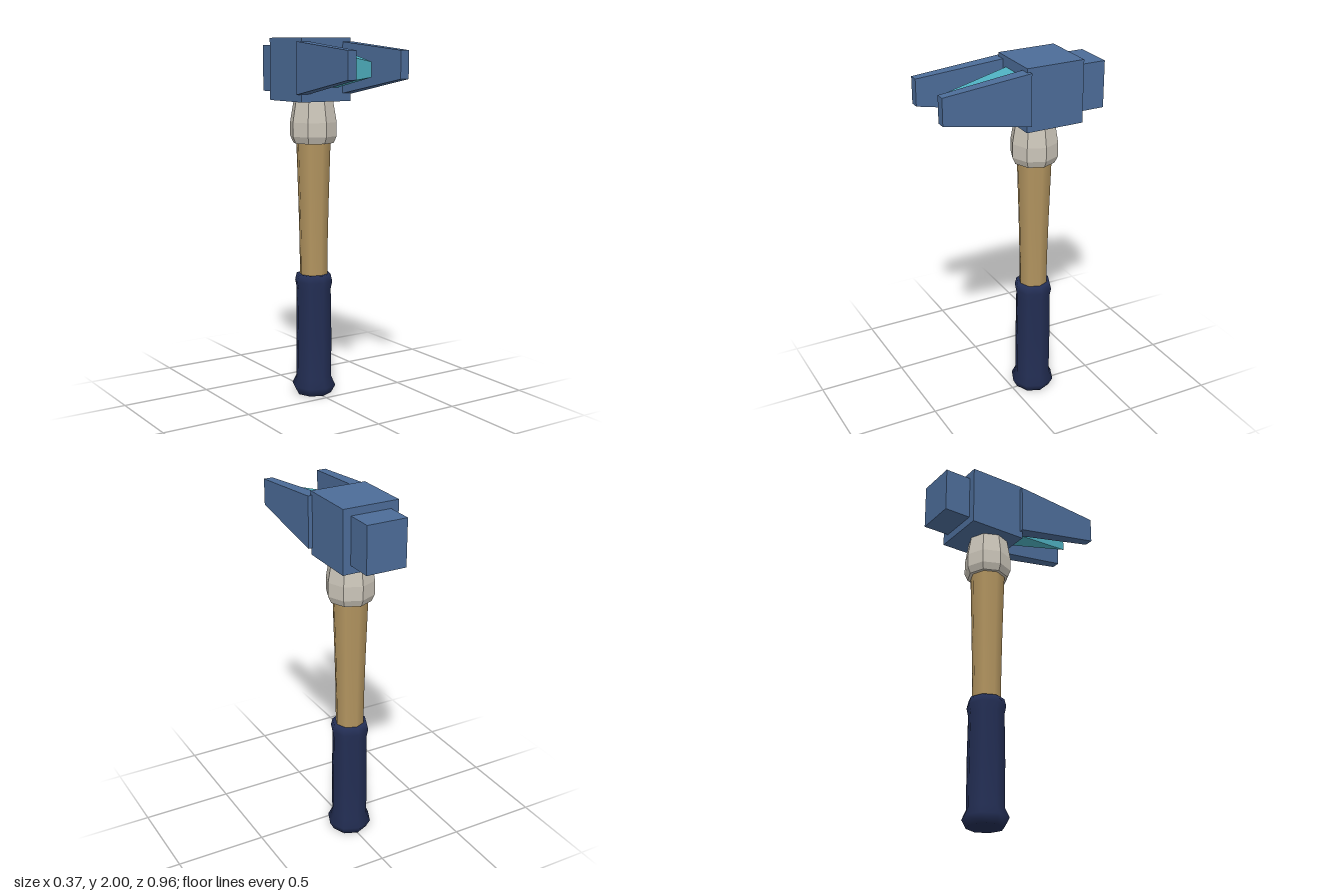
import * as THREE from 'three';

function material(name, color, flatShading = false) {
  const m = new THREE.MeshStandardMaterial({ color, flatShading });
  m.name = name;
  return m;
}

// Box running along z whose back and front ends have their own rectangles [x0, x1, y0, y1]
function taperedBox(z0, back, z1, front) {
  const geo = new THREE.BoxGeometry(1, 1, 1);
  const p = geo.attributes.position;
  for (let i = 0; i < p.count; i++) {
    const isFront = p.getZ(i) > 0;
    const r = isFront ? front : back;
    p.setXYZ(i, p.getX(i) > 0 ? r[1] : r[0], p.getY(i) > 0 ? r[3] : r[2], isFront ? z1 : z0);
  }
  geo.computeVertexNormals();
  return geo;
}

// Eight-sided turned part from [radius, height] pairs, bottom to top
function turned(profile) {
  return new THREE.LatheGeometry(profile.map(([r, y]) => new THREE.Vector2(r, y)), 8);
}

export function createModel() {
  const model = new THREE.Group();
  model.name = 'hammer';

  const blue = material('blue steel', 0x4c6c98, true);
  const teal = material('teal', 0x4fb1c1, true);
  const bone = material('pale collar', 0xcac4b8, true);
  const wood = material('wood', 0xb39560);
  const navy = material('navy grip', 0x232e54);

  const add = (parent, name, geo, mat) => {
    const mesh = new THREE.Mesh(geo, mat);
    mesh.name = name;
    parent.add(mesh);
    return mesh;
  };

  // Handle parts share one axis, set back from the centre
  const handle = new THREE.Group();
  handle.name = 'handle';
  handle.position.z = -0.13;
  model.add(handle);

  add(handle, 'grip', turned([
    [0, 0], [0.1, 0.003], [0.125, 0.05], [0.101, 0.1], [0.102, 0.35],
    [0.098, 0.61], [0.107, 0.655], [0.097, 0.695], [0, 0.695],
  ]), navy);
  add(handle, 'shaft', turned([[0.079, 0.66], [0.08, 0.85], [0.086, 1.1], [0.097, 1.45]]), wood);
  add(handle, 'collar', turned([
    [0, 1.43], [0.114, 1.43], [0.131, 1.468], [0.131, 1.545], [0.112, 1.655], [0.108, 1.665],
  ]), bone);

  // Head block and striking face
  const block = [-0.157, 0.157, 1.66, 2];
  add(model, 'headBlock', taperedBox(-0.328, block, 0, block), blue);
  const face = [-0.113, 0.113, 1.705, 1.96];
  add(model, 'strikingFace', taperedBox(-0.48, face, -0.32, face), blue);

  // Mirrored pair of tapering claws
  for (const side of [1, -1]) {
    const rect = (inner, outer, y0, y1) =>
      side > 0 ? [inner, outer, y0, y1] : [-outer, -inner, y0, y1];
    add(model, side > 0 ? 'leftClaw' : 'rightClaw',
      taperedBox(-0.015, rect(0.105, 0.18, 1.7, 1.98), 0.478, rect(0.136, 0.187, 1.79, 1.935)), blue);
  }

  // Wedge between the claws, narrowing to an upright edge
  add(model, 'centreWedge',
    taperedBox(-0.01, [-0.075, 0.075, 1.733, 1.946], 0.414, [-0.0005, 0.0005, 1.8, 1.878]), teal);

  return model;
}
